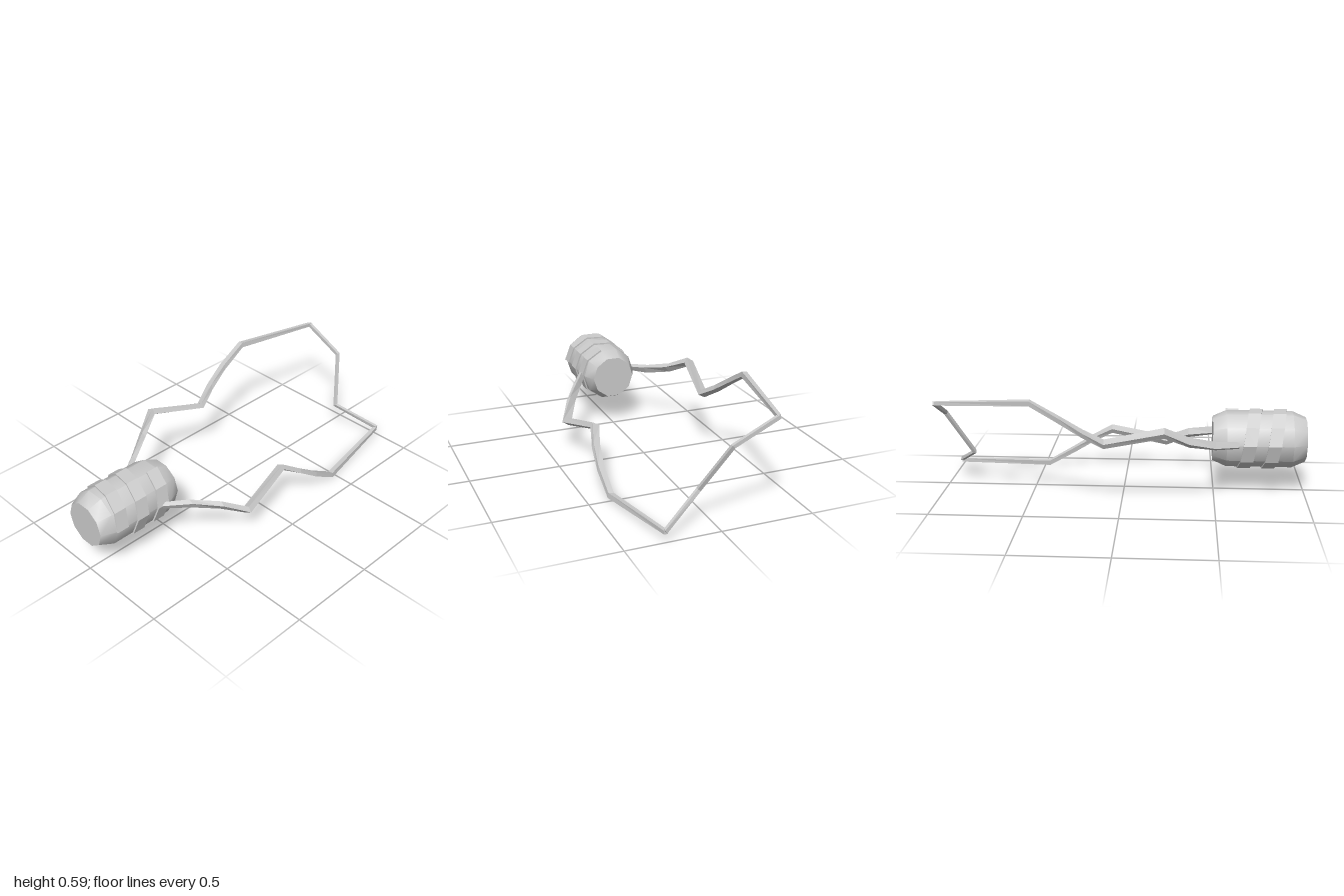
import * as THREE from 'three';
import { toCreasedNormals } from 'three/addons/utils/BufferGeometryUtils.js';

const CY = 0.297; // height of the handle axis

// Joins four-cornered cross-sections into a closed, flat-faced bar.
function loft(rings) {
  const tris = [];
  const quad = (a, b, c, d) => tris.push([a, b, c], [a, c, d]);
  for (let i = 0; i < rings.length - 1; i++) {
    for (let j = 0; j < 4; j++) {
      const k = (j + 1) % 4;
      quad(rings[i][j], rings[i][k], rings[i + 1][k], rings[i + 1][j]);
    }
  }
  const [s, e] = [rings[0], rings[rings.length - 1]];
  quad(s[3], s[2], s[1], s[0]);
  quad(e[0], e[1], e[2], e[3]);
  // turn the faces outward if the enclosed volume comes out negative
  let volume = 0;
  for (const [a, b, c] of tris) volume += a.dot(b.clone().cross(c));
  if (volume < 0) tris.forEach((t) => t.reverse());
  const geo = new THREE.BufferGeometry().setFromPoints(tris.flat());
  geo.computeVertexNormals();
  return geo;
}

// Rectangle of corners around centre c, spanned by unit directions u and v.
function section(c, u, v, a, b) {
  return [[-1, -1], [1, -1], [1, 1], [-1, 1]].map(([p, q]) =>
    c.clone().addScaledVector(u, p * a / 2).addScaledVector(v, q * b / 2));
}

export function createModel() {
  const group = new THREE.Group();
  const metal = new THREE.MeshStandardMaterial({ color: 0xcccccc });
  metal.name = 'light grey metal';
  const add = (name, geo) => {
    const mesh = new THREE.Mesh(geo, metal);
    mesh.name = name;
    group.add(mesh);
    return mesh;
  };

  // Ten-sided handle with chamfered ends
  const profile = [[0, 0.49], [0.123, 0.49], [0.156, 0.565], [0.156, 0.925], [0.123, 1], [0, 1]]
    .map(([r, z]) => new THREE.Vector2(r, z));
  const handle = new THREE.LatheGeometry(profile, 10);
  handle.rotateX(Math.PI / 2).rotateZ(Math.PI / 2);
  handle.translate(0, CY, 0);
  add('handle', toCreasedNormals(handle, 0.7));

  // Raised band wound around the handle
  const band = [];
  for (let i = 0; i <= 22; i++) {
    const t = i * Math.PI / 5;
    const out = new THREE.Vector3(Math.cos(t), Math.sin(t), 0);
    const c = out.clone().multiplyScalar(0.155).add(new THREE.Vector3(0, CY, 0.89 - i * 0.0134));
    band.push(section(c, out, new THREE.Vector3(0, 0, 1), 0.02, 0.07));
  }
  add('gripBand', loft(band));

  // Bent side arm: x, y, z, section angle in degrees, width, depth
  const arm = [
    [-0.15, 0.3, 0.63, 58, 0.03, 0.025],
    [-0.225, 0.318, 0.5, 60, 0.04, 0.03],
    [-0.31, 0.36, 0.36, 47, 0.043, 0.032],
    [-0.378, 0.428, 0.23, 32, 0.045, 0.034],
    [-0.32, 0.346, -0.09, 28, 0.042, 0.03],
    [-0.354, 0.412, -0.2, 20, 0.038, 0.03],
    [-0.37, 0.49, -0.32, 12, 0.034, 0.03],
    [-0.371, 0.577, -0.47, 8, 0.03, 0.028],
    [-0.286, 0.545, -0.99, 0, 0.02, 0.02],
  ];
  const armRings = arm.map(([x, y, z, deg, a, b]) => {
    const t = THREE.MathUtils.degToRad(deg);
    const u = new THREE.Vector3(Math.cos(t), Math.sin(t), 0);
    const v = new THREE.Vector3(Math.sin(t), -Math.cos(t), 0);
    return section(new THREE.Vector3(x, y, z), u, v, a, b);
  });
  const armGeo = loft(armRings);
  add('rightArm', armGeo);
  // the other arm is the same one turned half round the handle axis
  const leftArm = add('leftArm', armGeo);
  leftArm.rotation.z = Math.PI;
  leftArm.position.y = 2 * CY;

  // Kinked link joining the far ends of the arms
  const path = [[-0.29, 0.547, -0.99], [-0.05, 0.432, -0.99], [0.062, 0.172, -0.862], [0.29, 0.055, -0.99]]
    .map((p) => new THREE.Vector3(...p));
  const link = path.map((p, i) => {
    const dir = path[Math.min(i + 1, 3)].clone().sub(path[Math.max(i - 1, 0)]);
    const side = new THREE.Vector3(-dir.y, dir.x, 0).normalize();
    return section(p, side, new THREE.Vector3(0, 0, 1), 0.021, 0.018);
  });
  add('endLink', loft(link));

  return group;
}
